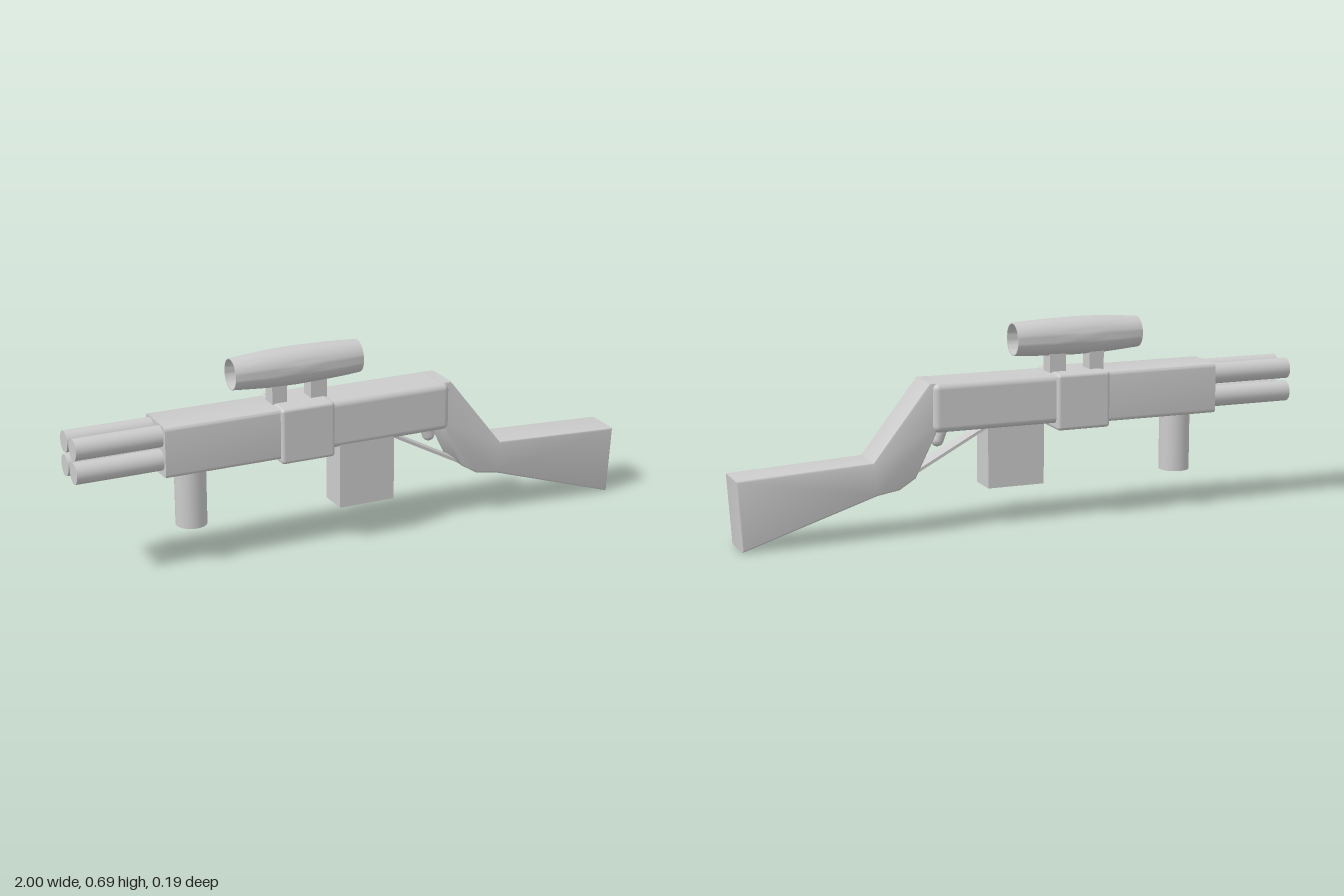
import * as THREE from 'three';
import { RoundedBoxGeometry } from 'three/addons/geometries/RoundedBoxGeometry.js';
import { toCreasedNormals } from 'three/addons/utils/BufferGeometryUtils.js';

export function createModel() {
  const group = new THREE.Group();
  const material = new THREE.MeshStandardMaterial({ color: 0xcccccc });
  const thin = new THREE.MeshStandardMaterial({ color: 0xcccccc, side: THREE.DoubleSide });

  const add = (name, geometry, x = 0, y = 0, z = 0, mat = material) => {
    const mesh = new THREE.Mesh(geometry, mat);
    mesh.name = name;
    mesh.position.set(x, y, z);
    group.add(mesh);
    return mesh;
  };
  // Box given by its limits; a radius rounds its edges
  const block = (name, [x0, x1], [y0, y1], [z0, z1], r = 0) => {
    const size = [x1 - x0, y1 - y0, z1 - z0];
    const geometry = r ? new RoundedBoxGeometry(...size, 3, r) : new THREE.BoxGeometry(...size);
    return add(name, geometry, (x0 + x1) / 2, (y0 + y1) / 2, (z0 + z1) / 2);
  };

  // Front body: rounded section swept along x, with square ends
  const w = 0.085, y0 = 0.338, y1 = 0.512, r = 0.014;
  const section = new THREE.Shape();
  section.moveTo(-w + r, y0);
  section.lineTo(w - r, y0);
  section.quadraticCurveTo(w, y0, w, y0 + r);
  section.lineTo(w, y1 - r);
  section.quadraticCurveTo(w, y1, w - r, y1);
  section.lineTo(-w + r, y1);
  section.quadraticCurveTo(-w, y1, -w, y1 - r);
  section.lineTo(-w, y0 + r);
  section.quadraticCurveTo(-w, y0, -w + r, y0);
  const frontBody = new THREE.ExtrudeGeometry(section, { depth: 0.5, bevelEnabled: false, curveSegments: 4 });
  frontBody.rotateY(Math.PI / 2);
  add('frontBody', toCreasedNormals(frontBody, 0.6), -0.705);

  block('rearBody', [-0.2, 0.33], [0.345, 0.512], [-0.083, 0.087], 0.022);
  block('centreBand', [-0.3, -0.107], [0.322, 0.515], [-0.097, 0.097], 0.012);

  // Cluster of four barrels
  for (const y of [0.39, 0.471]) {
    for (const z of [-0.048, 0.038]) {
      const barrel = new THREE.CylinderGeometry(0.036, 0.036, 0.35, 32).rotateZ(Math.PI / 2);
      add('barrel', barrel, -0.825, y, z);
    }
  }

  // Parts under the body
  add('foreGrip', new THREE.CylinderGeometry(0.053, 0.053, 0.24, 32), -0.59, 0.253, 0);
  block('magazine', [-0.085, 0.118], [0.128, 0.4], [-0.025, 0.083]);

  // Stock: side outline with softened edges
  const outline = new THREE.Shape([
    [0.31, 0.507], [0.337, 0.507], [0.535, 0.256], [0.994, 0.234], [0.98, 0.008],
    [0.525, 0.154], [0.45, 0.166], [0.395, 0.2], [0.31, 0.37],
  ].map(([x, y]) => new THREE.Vector2(x, y)));
  const bevel = 0.006;
  const stock = new THREE.ExtrudeGeometry(outline, {
    depth: 0.137 - 2 * bevel, bevelThickness: bevel, bevelSize: bevel, bevelSegments: 3,
  });
  add('stock', toCreasedNormals(stock, 0.6), 0, 0, -0.067 + bevel);

  // Trigger guard strap and trigger
  const from = new THREE.Vector2(0.12, 0.345), to = new THREE.Vector2(0.42, 0.185);
  const guard = add('triggerGuard', new THREE.BoxGeometry(from.distanceTo(to), 0.01, 0.06),
    (from.x + to.x) / 2, (from.y + to.y) / 2, 0);
  guard.rotation.z = Math.atan2(to.y - from.y, to.x - from.x);
  const trigger = add('trigger', new THREE.CapsuleGeometry(0.022, 0.04, 6, 16), 0.285, 0.325, 0);
  trigger.rotation.z = 0.35;

  // Scope: hollow tube with a swollen middle, open through its length
  const profile = [
    [0.053, -0.23], [0.058, -0.17], [0.063, -0.1], [0.065, 0], [0.063, 0.1], [0.06, 0.17], [0.056, 0.23],
    [0.052, 0.23], [0.046, 0.15], [0.04, 0.05], [0.04, -0.05], [0.046, -0.15], [0.05, -0.23], [0.053, -0.23],
  ].map(([radius, x]) => new THREE.Vector2(radius, x));
  const scope = new THREE.LatheGeometry(profile, 40).rotateZ(-Math.PI / 2).scale(1, 1, 0.95);
  add('scope', toCreasedNormals(scope, 0.8), -0.21, 0.63, -0.002, thin);

  block('scopeMount', [-0.303, -0.25], [0.5, 0.578], [-0.032, 0.025]);
  block('scopeMount', [-0.163, -0.104], [0.5, 0.578], [-0.032, 0.025]);

  return group;
}
